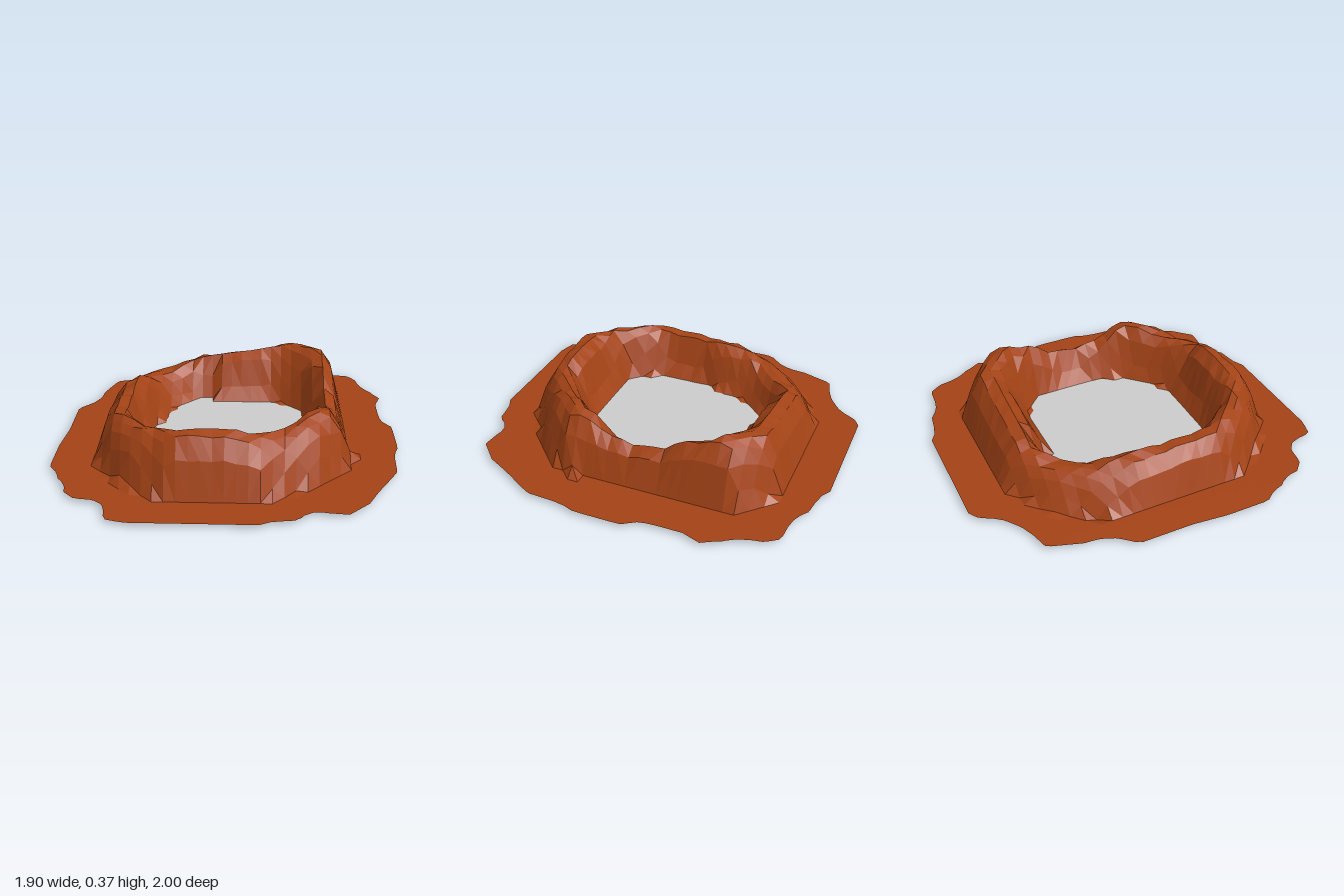
import * as THREE from 'three';

// Plan outlines as x, z pairs around the centre
const groundEdge = [
  -.38, -1, .3, -1, .36, -.96, .5, -.94, .58, -.88, .75, -.87, .8, -.8, .82, -.68, .88, -.6, .9, -.53,
  .94, -.5, .89, -.47, .89, -.22, .91, -.14, .95, -.1, .95, .17, .92, .25, .91, .45, .86, .54, .8, .64,
  .73, .78, .62, .89, .52, .88, .42, .86, .37, .95, .23, .97, .18, 1, -.48, 1, -.58, .97, -.6, .8,
  -.76, .78, -.82, .72, -.84, .6, -.88, .58, -.91, .48, -.95, .45, -.95, .2, -.93, 0, -.93, -.3,
  -.87, -.36, -.82, -.43, -.81, -.55, -.75, -.73, -.6, -.77, -.54, -.81, -.45, -.88, -.42, -.95];
const outerFoot = [
  -.2, -.775, .42, -.775, .56, -.68, .665, -.58, .665, .4, .5, .6, .3, .72, .18, .797, -.3, .797,
  -.53, .66, -.67, .48, -.727, .3, -.727, -.2, -.67, -.42, -.55, -.6, -.36, -.72];
const innerFoot = [
  -.21, -.49, -.1, -.49, -.08, -.44, .2, -.44, .32, -.4, .44, -.28, .46, -.1, .46, 0, .4, .21,
  .37, .27, .24, .39, .13, .45, -.02, .47, -.1, .46, -.33, .44, -.41, .31, -.46, .23, -.46, .03,
  -.41, -.1, -.39, -.21, -.34, -.32];

// Rim height every 15 degrees, from +x towards +z
const rimHeights = [
  .21, .235, .33, .33, .29, .30, .35, .35, .31, .30, .29, .28,
  .265, .27, .24, .20, .21, .25, .28, .31, .34, .365, .32, .225];

// Single grid points that stick out of or sink into the ground: column, row, height
const spots = [[11, 5, .07], [-11, -7, 0], [-7, -1, .008]];

const GROUND = 0.02;
const FLOOR = 0.017;
const CELL = 0.0608;
const HALF = 17; // grid cells each side of the centre

// Distance from the centre to an outline in a given direction
function radiusAt(outline, angle) {
  const c = Math.cos(angle), s = Math.sin(angle), n = outline.length;
  let radius = 0;
  for (let i = 0; i < n; i += 2) {
    const ax = outline[i], az = outline[i + 1];
    const bx = outline[(i + 2) % n], bz = outline[(i + 3) % n];
    const da = ax * s - az * c, db = bx * s - bz * c;
    if (da * db > 0 || da === db) continue;
    const t = da / (da - db);
    radius = Math.max(radius, (ax + t * (bx - ax)) * c + (az + t * (bz - az)) * s);
  }
  return radius;
}

function rimAt(angle) {
  const a = ((angle / (Math.PI * 2) + 1) % 1) * 24;
  const i = Math.floor(a);
  return THREE.MathUtils.lerp(rimHeights[i % 24], rimHeights[(i + 1) % 24], a - i);
}

// Crater wall: steep outside, rounded crest, sloping inside, flat floor
function heightAt(r, angle, rough) {
  const inner = radiusAt(innerFoot, angle);
  const outer = radiusAt(outerFoot, angle);
  if (r >= outer) return GROUND;
  if (r <= inner) return FLOOR;
  const outWidth = Math.min(0.19, (outer - inner) * 0.6);
  const outside = 1 - (1 - Math.min(1, (outer - r) / outWidth)) ** 2.6;
  const u = Math.min(1, (r - inner) / (outer - inner - outWidth));
  const inside = Math.sin(u * Math.PI / 2) ** 1.2;
  return GROUND + (rimAt(angle) - GROUND + rough) * Math.min(outside, inside);
}

function makeTerrain() {
  let seed = 7;
  const random = () => (seed = (seed * 16807) % 2147483647) / 2147483647;
  const positions = [], indices = [], side = HALF * 2 + 1;
  for (let j = -HALF; j <= HALF; j++) {
    for (let i = -HALF; i <= HALF; i++) {
      const x = i * CELL, z = j * CELL + 0.01;
      const angle = Math.atan2(z, x);
      const r = Math.hypot(x, z);
      // Points past the ragged edge are pulled back onto it
      const pull = Math.min(1, radiusAt(groundEdge, angle) / r);
      const spot = spots.find(([column, row]) => column === i && row === j);
      const y = spot ? spot[2] : heightAt(r, angle, (random() - 0.5) * 0.02);
      positions.push(x * pull, y, z * pull);
    }
  }
  // Each cell is split across the slope, so the corners stay even
  for (let j = 0; j < side - 1; j++) {
    for (let i = 0; i < side - 1; i++) {
      const a = j * side + i, b = a + 1, c = a + side, d = c + 1;
      if ((i < HALF) === (j < HALF)) indices.push(a, c, b, b, c, d);
      else indices.push(a, c, d, a, d, b);
    }
  }
  const geometry = new THREE.BufferGeometry();
  geometry.setAttribute('position', new THREE.Float32BufferAttribute(positions, 3));
  geometry.setIndex(indices);
  geometry.computeVertexNormals();
  return geometry;
}

export function createModel() {
  const model = new THREE.Group();
  model.name = 'crater';

  // Ground sheet with the raised crater wall
  const terrain = new THREE.Mesh(makeTerrain(), new THREE.MeshStandardMaterial({
    color: 0xa44316, flatShading: true, side: THREE.DoubleSide }));
  terrain.name = 'craterTerrain';
  model.add(terrain);

  // Square sheet that fills the crater floor
  const pool = new THREE.Mesh(new THREE.PlaneGeometry(1, 1).rotateX(-Math.PI / 2),
    new THREE.MeshStandardMaterial({ color: 0xcccccc, side: THREE.DoubleSide }));
  pool.name = 'poolSurface';
  pool.position.y = 0.024;
  model.add(pool);

  return model;
}
